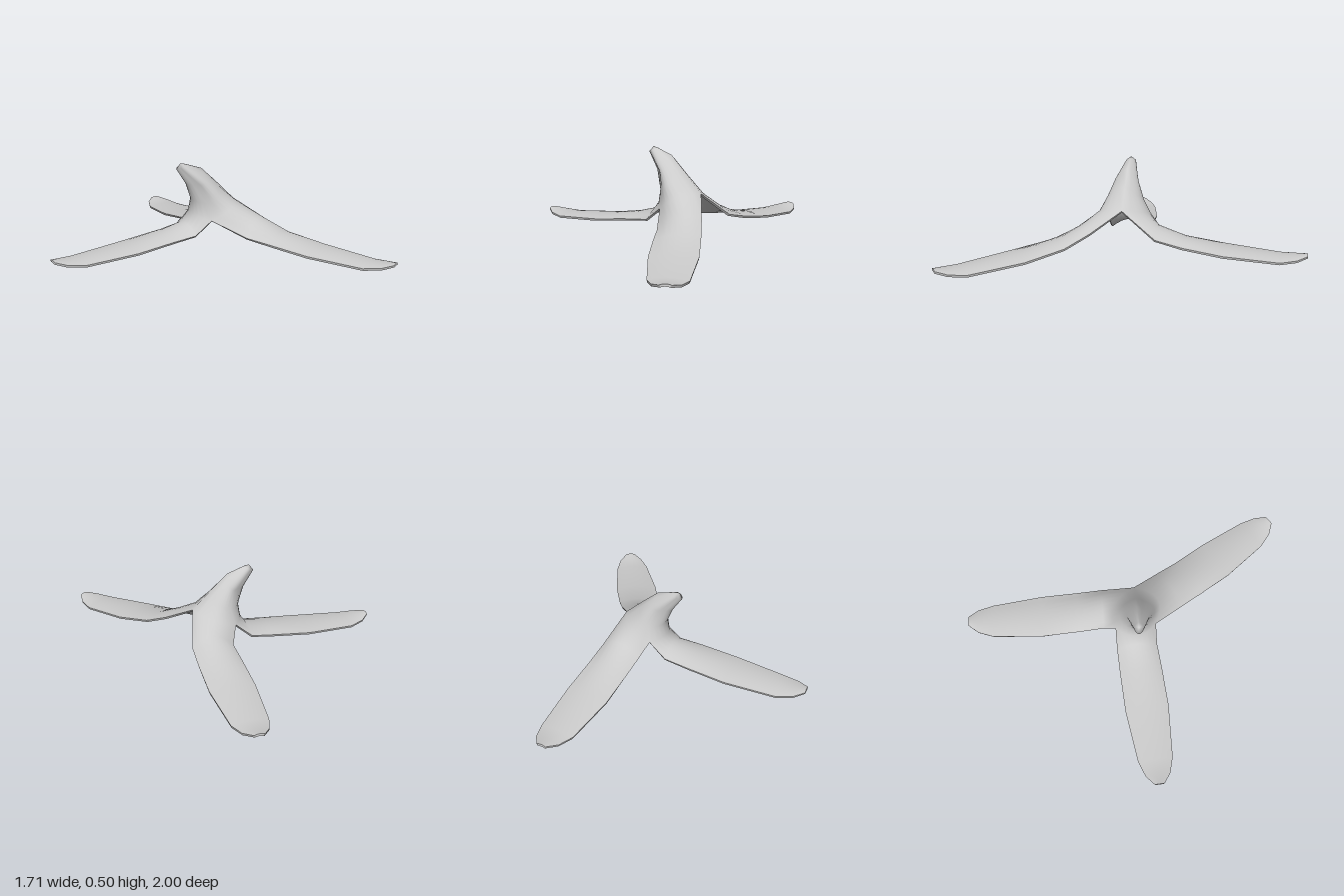
import * as THREE from 'three';

const THICKNESS = 0.013;
const COLUMNS = 8;
const TIP = [-0.035, 0.51, 0.05];

// Seams run from the stem tip down to the notch between two lobes.
const seamAB = [TIP, [-0.045, 0.485, 0.025], [0.05, 0.38, 0.01], [0.085, 0.28, -0.04], [0.09, 0.19, -0.08]];
const seamAC = [TIP, [-0.045, 0.485, 0.075], [0.05, 0.38, 0.1], [0.095, 0.27, 0.14], [0.11, 0.17, 0.17]];
const seamBC = [TIP, [0, 0.502, 0.05], [0.1, 0.47, 0.05], [0.2, 0.38, 0.05], [0.32, 0.265, 0.05]];

// Ridges run down the stem between the seams, onto the middle of each lobe.
const ridgeA = [TIP, [-0.062, 0.475, 0.05], [0, 0.38, 0.05], [0.04, 0.28, 0.05], [0.03, 0.2, 0.05]];
const ridgeB = [TIP, [-0.02, 0.495, 0.025], [0.1, 0.4, -0.01], [0.17, 0.31, -0.04], [0.22, 0.235, -0.08]];
const ridgeC = [TIP, [-0.02, 0.495, 0.075], [0.09, 0.4, 0.125], [0.16, 0.32, 0.155], [0.24, 0.245, 0.19]];

// Base and end are [x, z] on the ground plan; lift raises the first edge, middle and second edge near the stem.
const lobes = [
  { seams: [seamAB, seamAC], ridge: ridgeA, base: [-0.005, 0.045], end: [-0.855, 0.108], lift: [0.01, 0.02, 0] },
  { seams: [seamBC, seamAB], ridge: ridgeB, base: [0.255, -0.15], end: [0.27, -1], lift: [0.03, 0.05, 0.01] },
  { seams: [seamAC, seamBC], ridge: ridgeC, base: [0.346, 0.283], end: [0.825, 0.985], lift: [0.005, 0.055, 0.07] },
];

// Sections shared by all lobes, from the stem outwards
const sections = [
  { along: 0, half: 0.125, edge: 0.09, middle: 0.125, lifted: 1 },
  { along: 0.18, half: 0.13, edge: 0.075, middle: 0.095, lifted: 0.3 },
  { along: 0.45, half: 0.133, edge: 0.045, middle: 0.057, lifted: 0.1 },
  { along: 0.82, half: 0.105, edge: 0.018, middle: 0.03, lifted: 0 },
  { along: 0.93, half: 0.075, edge: 0.026, middle: 0.036, lifted: 0 },
  { along: 1, half: 0.03, edge: 0.04, middle: 0.046, lifted: 0 },
];

// Rows of [first edge, middle, second edge], down the stem and out along the lobe
function lobeRows({ seams, ridge, base, end, lift }) {
  const stem = ridge.map((m, r) => [seams[0][r], m, seams[1][r]]);
  const dx = end[0] - base[0], dz = end[1] - base[1], length = Math.hypot(dx, dz);
  const blade = sections.map(({ along, half, edge, middle, lifted }) => [-1, 0, 1].map((side, i) => [
    base[0] + dx * along + side * half * dz / length,
    (side ? edge : middle) + lift[i] * lifted,
    base[1] + dz * along - side * half * dx / length,
  ]));
  return [...stem, ...blade];
}

// Point on the arc through a, m and b, with u from -1 to 1
function across([a, m, b], u) {
  return m.map((v, i) => v * (1 - u * u) + a[i] * u * (u - 1) / 2 + b[i] * u * (u + 1) / 2);
}

// Joins the lobes into one skin, sharing points along the seams.
function skin() {
  const points = [], faces = [], lookup = new Map();
  const add = (p) => {
    const key = p.map((v) => Math.round(v * 1e4)).join();
    if (!lookup.has(key)) {
      lookup.set(key, points.length);
      points.push(new THREE.Vector3(...p));
    }
    return lookup.get(key);
  };
  const face = (a, b, c) => {
    if (a !== b && b !== c && c !== a) faces.push([a, b, c]);
  };
  for (const lobe of lobes) {
    const grid = lobeRows(lobe).map((row) => Array.from({ length: COLUMNS + 1 },
      (_, c) => add(across(row, 2 * c / COLUMNS - 1))));
    for (let r = 0; r < grid.length - 1; r++) {
      for (let c = 0; c < COLUMNS; c++) {
        face(grid[r][c], grid[r + 1][c], grid[r + 1][c + 1]);
        face(grid[r][c], grid[r + 1][c + 1], grid[r][c + 1]);
      }
    }
  }
  return { points, faces };
}

function toGeometry(points, faces) {
  const g = new THREE.BufferGeometry().setFromPoints(points);
  g.setIndex(faces.flat());
  g.computeVertexNormals();
  return g;
}

export function createModel() {
  const group = new THREE.Group();
  group.name = 'bananaPeel';
  const material = new THREE.MeshStandardMaterial({ color: 0xcccccc });
  const addMesh = (name, geometry) => {
    const mesh = new THREE.Mesh(geometry, material);
    mesh.name = name;
    group.add(mesh);
  };

  // Outer skin
  const { points, faces } = skin();
  const outer = toGeometry(points, faces);
  addMesh('outerPeel', outer);

  // Inner skin, set in along the normals and facing down
  const normals = outer.getAttribute('normal');
  const inner = points.map((p, i) => {
    const q = p.clone().addScaledVector(new THREE.Vector3().fromBufferAttribute(normals, i), -THICKNESS);
    q.y = Math.max(q.y, 0);
    return q;
  });
  addMesh('innerPeel', toGeometry(inner, faces.map(([a, b, c]) => [a, c, b])));

  // Rim along every open edge
  const directed = new Set(faces.flatMap(([a, b, c]) => [`${a},${b}`, `${b},${c}`, `${c},${a}`]));
  const n = points.length;
  const rim = [];
  for (const edge of directed) {
    const [a, b] = edge.split(',').map(Number);
    if (!directed.has(`${b},${a}`)) rim.push([a, a + n, b + n], [a, b + n, b]);
  }
  addMesh('peelRim', toGeometry([...points, ...inner], rim));

  return group;
}
